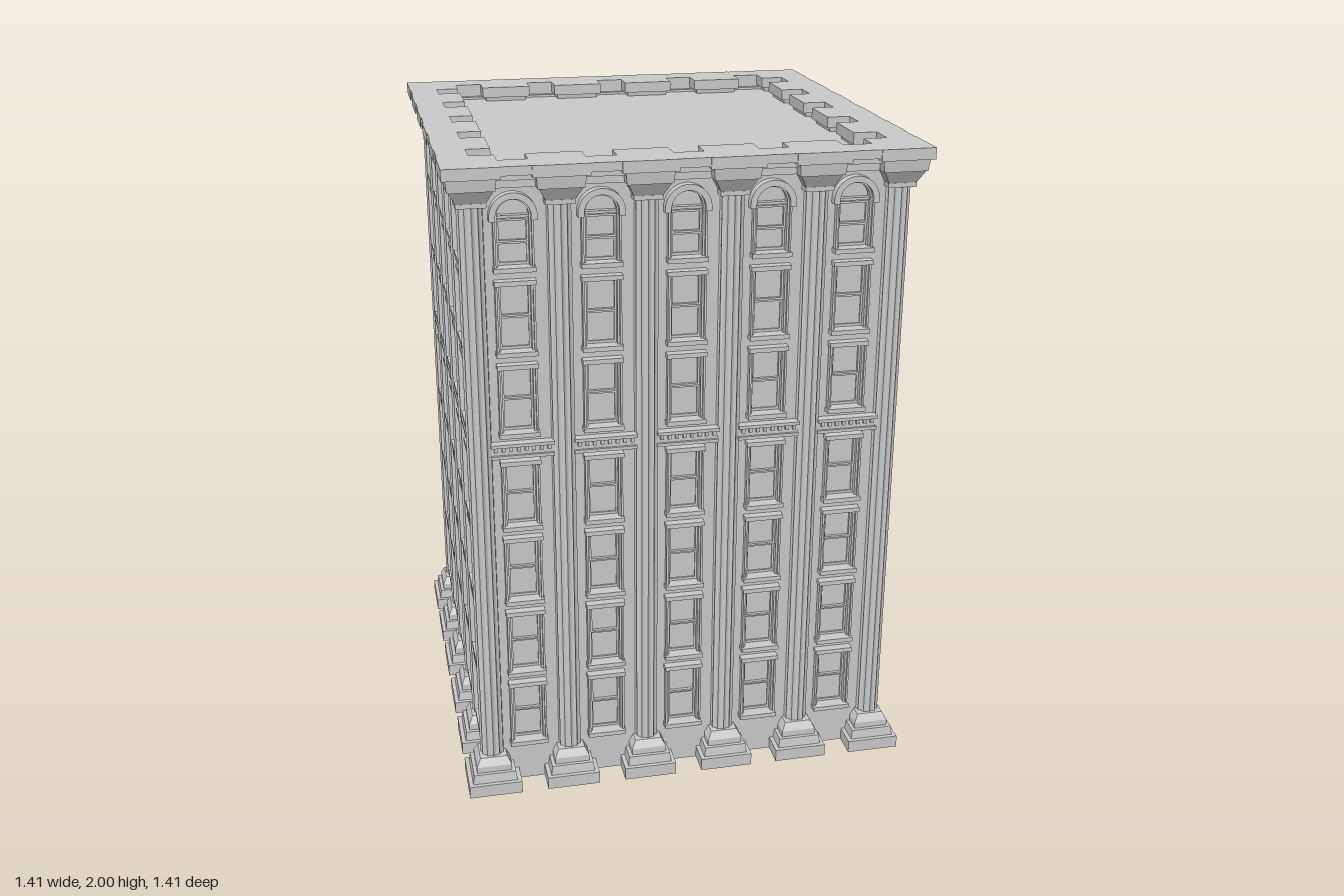
import * as THREE from 'three';

const stone = new THREE.MeshStandardMaterial({ color: 0xcccccc, flatShading: true, side: THREE.DoubleSide });
const COLS = [-0.622, -0.374, -0.125, 0.125, 0.374, 0.622];
const BAYS = [-0.505, -0.256, -0.007, 0.242, 0.491];
const ROWS = [0.14, 0.39, 0.64, 0.89, 1.19, 1.44];
const TOP_ROW = 1.69, ROW_H = 0.222, SPRING = 1.848, HALF = 0.057;
const DOOR_SPRING = 0.365;

function add(parent, name, geometry, x = 0, y = 0, z = 0) {
  const mesh = new THREE.Mesh(geometry, stone);
  mesh.name = name;
  mesh.position.set(x, y, z);
  parent.add(mesh);
  return mesh;
}

// box given by its limits
function box(parent, name, x0, x1, y0, y1, z0, z1) {
  return add(parent, name, new THREE.BoxGeometry(x1 - x0, y1 - y0, z1 - z0),
    (x0 + x1) / 2, (y0 + y1) / 2, (z0 + z1) / 2);
}

function rect(P, x, y0, y1, half) {
  const p = new P();
  p.moveTo(x - half, y0);
  p.lineTo(x + half, y0);
  p.lineTo(x + half, y1);
  p.lineTo(x - half, y1);
  p.closePath();
  return p;
}

// opening with straight sides and a round head
function arched(P, x, y0, spring, r) {
  const p = new P();
  p.moveTo(x - r, y0);
  p.lineTo(x + r, y0);
  p.lineTo(x + r, spring);
  p.absarc(x, spring, r, 0, Math.PI, false);
  p.closePath();
  return p;
}

// arch band with two legs, open at the foot
function archBand(outer, inner, y0, spring) {
  const s = new THREE.Shape();
  s.moveTo(outer, y0);
  s.lineTo(outer, spring);
  s.absarc(0, spring, outer, 0, Math.PI, false);
  s.lineTo(-outer, y0);
  s.lineTo(-inner, y0);
  s.lineTo(-inner, spring);
  s.absarc(0, spring, inner, Math.PI, 0, true);
  s.lineTo(inner, y0);
  s.closePath();
  return s;
}

function extrude(shape, z0, z1, curveSegments = 16) {
  const g = new THREE.ExtrudeGeometry(shape, { depth: z1 - z0, bevelEnabled: false, curveSegments });
  return g.translate(0, 0, z0);
}

function framed(outer, inner, z0, z1) {
  outer.holes.push(inner);
  return extrude(outer, z0, z1);
}

// square block, tapered between two half widths
function taper(bottom, top, y0, y1) {
  const g = new THREE.CylinderGeometry(top * Math.SQRT2, bottom * Math.SQRT2, y1 - y0, 4);
  return g.rotateY(Math.PI / 4).translate(0, (y0 + y1) / 2, 0);
}

// fluted shaft
function shaft(y0, y1) {
  const g = new THREE.CylinderGeometry(1, 1, y1 - y0, 48, 1, true);
  const p = g.attributes.position;
  for (let i = 0; i < p.count; i++) {
    const a = Math.atan2(p.getZ(i), p.getX(i));
    const r = 0.038 - 0.005 * Math.abs(Math.sin(a * 6));
    p.setXYZ(i, Math.cos(a) * r, p.getY(i), Math.sin(a) * r);
  }
  return g.translate(0, (y0 + y1) / 2, 0);
}

const baseSteps = [[0.083, 0.083, 0, 0.04], [0.07, 0.066, 0.04, 0.07], [0.055, 0.055, 0.07, 0.09], [0.055, 0.042, 0.09, 0.115]];
const capitalSteps = [[0.043, 0.043, 1.88, 1.893], [0.042, 0.062, 1.893, 1.93], [0.066, 0.07, 1.93, 1.966], [0.081, 0.081, 1.966, 2]];

function column(y0) {
  const g = new THREE.Group();
  g.name = 'column';
  add(g, 'flutedShaft', shaft(y0 || 0.1, 1.9));
  if (!y0) for (const s of baseSteps) add(g, 'columnBase', taper(...s));
  for (const s of capitalSteps) add(g, 'capital', taper(...s));
  return g;
}

// sash window; its foot is at y = 0
function sashWindow(round) {
  const g = new THREE.Group();
  const S = THREE.Shape, P = THREE.Path;
  const spring = SPRING - TOP_ROW;
  const h = round ? spring : ROW_H;
  g.name = round ? 'archedWindow' : 'sashWindow';
  const outline = (C, d) => round ? arched(C, 0, d, spring, HALF - d) : rect(C, 0, d, h - d, HALF - d);
  add(g, 'outerFrame', framed(outline(S, 0), outline(P, 0.006), 0.598, 0.645));
  add(g, 'innerFrame', framed(outline(S, 0.006), outline(P, 0.012), 0.598, 0.636));
  add(g, 'pane', extrude(outline(S, 0.01), 0.606, 0.612));
  // sashes: the lower one sits behind the upper one
  const mid = h / 2;
  add(g, 'lowerSash', framed(rect(S, 0, 0.012, mid, 0.045), rect(P, 0, 0.02, mid - 0.006, 0.039), 0.608, 0.617));
  add(g, 'upperSash', framed(rect(S, 0, mid, h - 0.012, 0.045), rect(P, 0, mid + 0.006, h - 0.018, 0.039), 0.608, 0.622));
  box(g, 'sill', -0.06, 0.06, -0.002, 0.012, 0.6, 0.655);
  if (round) {
    // hood mould over the round head
    add(g, 'hood', extrude(archBand(0.068, 0.05, spring - 0.012, spring), 0.6, 0.652));
    box(g, 'transom', -0.05, 0.05, spring - 0.008, spring, 0.606, 0.63);
  } else {
    box(g, 'lintel', -0.06, 0.06, h - 0.013, h + 0.001, 0.6, 0.652);
  }
  return g;
}

function doorway() {
  const g = new THREE.Group();
  g.name = 'doorway';
  // stepped arch mouldings, set back towards the door
  for (const [o, i, z] of [[0.262, 0.235, 0.666], [0.235, 0.215, 0.676], [0.215, 0.198, 0.662], [0.198, 0.178, 0.65], [0.178, 0.155, 0.636]])
    add(g, 'archMoulding', extrude(archBand(o, i, 0, DOOR_SPRING), 0.595, z, 32));
  add(g, 'tympanum', extrude(arched(THREE.Shape, 0, DOOR_SPRING, DOOR_SPRING + 0.001, 0.157), 0.6, 0.61, 32));
  add(g, 'tympanumRim', extrude(archBand(0.148, 0.138, DOOR_SPRING, DOOR_SPRING + 0.001), 0.6, 0.617, 32));
  box(g, 'doorTransom', -0.157, 0.157, 0.358, 0.37, 0.6, 0.622);
  for (const s of [-1, 1]) {
    const a = s * 0.002, b = s * 0.156;
    box(g, 'doorLeaf', Math.min(a, b), Math.max(a, b), 0, 0.36, 0.6, 0.612);
  }
  return g;
}

function facade(hasDoor) {
  const g = new THREE.Group();
  g.name = hasDoor ? 'entranceFacade' : 'facade';
  const wall = rect(THREE.Shape, 0, 0, 1.96, 0.622);
  if (hasDoor) {
    // notch the doorway out of the foot of the wall
    wall.holes.push(arched(THREE.Path, 0, 0.0005, DOOR_SPRING, 0.25));
    g.add(doorway());
  }
  for (const x of BAYS) {
    ROWS.forEach((y, r) => {
      if (hasDoor && r < 2 && Math.abs(x) < 0.3) return;
      wall.holes.push(rect(THREE.Path, x, y + 0.004, y + ROW_H - 0.004, HALF - 0.004));
      const w = sashWindow(false);
      w.position.set(x, y, 0);
      g.add(w);
    });
    wall.holes.push(arched(THREE.Path, x, TOP_ROW + 0.004, SPRING, HALF - 0.004));
    const top = sashWindow(true);
    top.position.set(x, TOP_ROW, 0);
    g.add(top);
  }
  add(g, 'wall', extrude(wall, 0.597, 0.625));

  // columns; the last corner belongs to the next side
  COLS.slice(0, 5).forEach((x) => {
    const c = column(hasDoor && Math.abs(x) < 0.2 ? 0.57 : 0);
    c.position.set(x, 0, 0.622);
    g.add(c);
  });

  // string course with dentils, and the cornice, in each bay
  for (let i = 0; i < 5; i++) {
    const a = COLS[i], b = COLS[i + 1];
    box(g, 'stringCourse', a + 0.03, b - 0.03, 1.125, 1.165, 0.61, 0.64);
    box(g, 'stringCourseTop', a + 0.03, b - 0.03, 1.16, 1.17, 0.61, 0.655);
    box(g, 'stringCourseFoot', a + 0.03, b - 0.03, 1.122, 1.132, 0.61, 0.648);
    for (let k = 0; k < 8; k++) {
      const x = a + 0.045 + (b - a - 0.09) * k / 7;
      box(g, 'dentil', x - 0.005, x + 0.005, 1.145, 1.16, 0.635, 0.65);
    }
    box(g, 'frieze', a, b, 1.93, 1.955, 0.612, 0.65);
    box(g, 'corniceBed', a, b, 1.955, 1.975, 0.612, 0.672);
    box(g, 'cornice', a + 0.08, b - 0.08, 1.974, 2, 0.612, 0.7);
  }
  return g;
}

export function createModel() {
  const model = new THREE.Group();
  model.name = 'building';
  for (let k = 0; k < 4; k++) {
    const side = facade(k === 1);
    side.rotation.y = k * Math.PI / 2;
    model.add(side);
  }
  // roof, sunk behind the cornice
  box(model, 'roof', -0.62, 0.62, 1.935, 1.952, -0.62, 0.62);
  return model;
}
